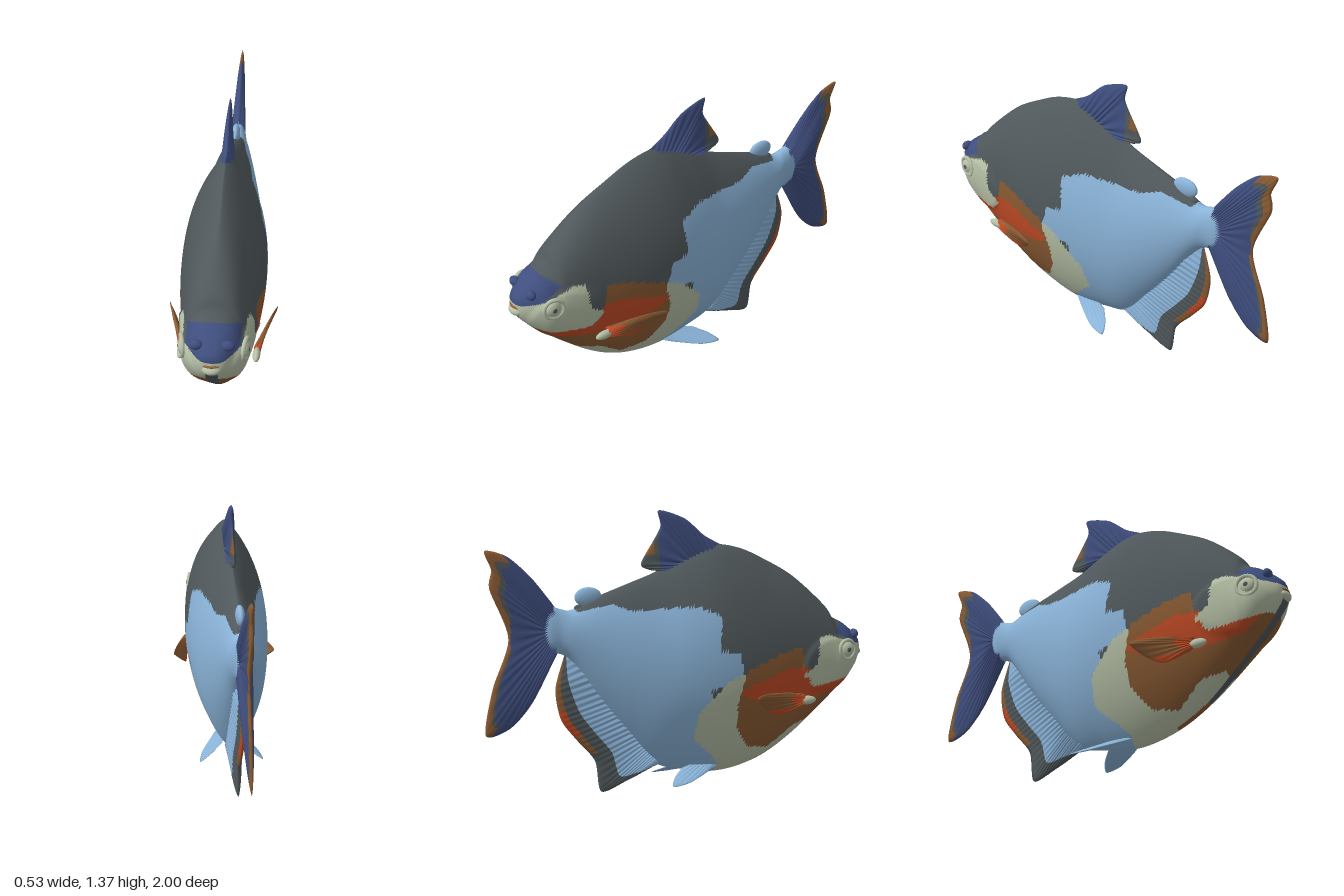
import * as THREE from 'three';

const COLOURS = { grey: 0x50585b, sky: 0x8ab3d8, sage: 0xb6c0a6, brown: 0x8a5b33, red: 0xbf4a25, navy: 0x3f4e7e };
const NAMES = Object.keys(COLOURS);
const { smoothstep, clamp } = THREE.MathUtils;

// Body sections: z, top, bottom, half width
const SECTIONS = [
  [0.985, 0.665, 0.63, 0.003], [0.965, 0.715, 0.585, 0.06], [0.88, 0.785, 0.48, 0.128], [0.81, 0.825, 0.415, 0.145],
  [0.76, 0.895, 0.365, 0.15], [0.6, 1.035, 0.22, 0.172], [0.45, 1.12, 0.122, 0.193], [0.3, 1.185, 0.07, 0.204],
  [0.15, 1.203, 0.055, 0.204], [0, 1.15, 0.08, 0.19], [-0.15, 1.075, 0.125, 0.165], [-0.3, 1.02, 0.28, 0.135],
  [-0.45, 0.965, 0.475, 0.1], [-0.57, 0.91, 0.655, 0.07], [-0.63, 0.917, 0.7, 0.05], [-0.69, 0.93, 0.705, 0.038],
  [-0.735, 0.83, 0.81, 0.01],
];

// Colour patches on the flank as (z, y) outlines; the first match wins
const CROWN = [[1.02, 0.665], [1.02, 0.82], [0.87, 0.81], [0.79, 0.75], [0.9, 0.69]];
const CHEEK = [[1.02, 0.665], [0.9, 0.69], [0.74, 0.74], [0.68, 0.73], [0.67, 0.6], [0.59, 0.55], [0.66, 0.48], [0.85, 0.51], [1.02, 0.58]];
const THROAT = [[0.94, 0.56], [0.6, 0.58], [0.5, 0.59], [0.23, 0.49], [0.3, 0.44], [0.6, 0.41], [0.8, 0.45]];
const BREAST = [[0.58, 0.69], [0.46, 0.67], [0.265, 0.59], [0.22, 0.42], [0.23, 0.31], [0.31, 0.19], [0.44, 0.17],
  [0.57, 0.28], [0.68, 0.31], [0.74, 0.2], [1, 0.4], [0.95, 0.56], [0.6, 0.5]];
const BELLY = [[0.265, 0.58], [0.17, 0.55], [0.02, 0.39], [0.01, 0.26], [0.17, 0.11], [0.15, 0], [0.9, 0], [0.75, 0.4]];
const FLANK = [[0.14, 0.87], [0.02, 0.915], [-0.29, 0.9], [-0.39, 0.935], [-0.55, 0.9], [-0.6, 1], [-0.8, 1], [-0.8, 0],
  [0.2, 0], [0.08, 0.5], [0.25, 0.57], [0.22, 0.685], [0.12, 0.7]];
const PATCHES = [['navy', CROWN], ['sage', CHEEK], ['red', THROAT], ['brown', BREAST], ['sage', BELLY], ['sky', FLANK]];

function inside(poly, z, y) {
  let hit = false;
  poly.forEach(([zi, yi], i) => {
    const [zj, yj] = poly[(i + 1) % poly.length];
    if ((yi > y) !== (yj > y) && z < ((zj - zi) * (y - yi)) / (yj - yi) + zi) hit = !hit;
  });
  return hit;
}

// Smooth grid surface whose faces are sorted into one group per colour
function paintedGrid(nu, nv, closed, point, paint) {
  const pts = [], cols = closed ? nv : nv + 1;
  for (let i = 0; i <= nu; i++) for (let j = 0; j < cols; j++) pts.push(new THREE.Vector3(...point(i / nu, j / nv)));
  const buckets = NAMES.map(() => []);
  for (let i = 0; i < nu; i++) for (let j = 0; j < nv; j++) {
    const a = i * cols + j, b = i * cols + ((j + 1) % cols), c = a + cols, d = b + cols;
    for (const tri of [[a, b, c], [b, d, c]]) {
      const mid = new THREE.Vector3();
      tri.forEach((k) => mid.addScaledVector(pts[k], 1 / 3));
      buckets[NAMES.indexOf(paint(mid, (i + 0.5) / nu, (j + 0.5) / nv))].push(...tri);
    }
  }
  const geo = new THREE.BufferGeometry().setFromPoints(pts);
  geo.setIndex(buckets.flat());
  let start = 0;
  buckets.forEach((b, k) => { if (b.length) geo.addGroup(start, b.length, k); start += b.length; });
  geo.computeVertexNormals();
  return geo;
}

const spline = (pts, tension = 0.4) => new THREE.CatmullRomCurve3(pts.map((p) => new THREE.Vector3(...p)), false, 'catmullrom', tension);

// Ribbed fin stretched between a base and a tip line of (z, height) points, thinning to its edge
function finGeometry(base, tip, thick, rays, paint, place = (z, h, t) => [t, h, z]) {
  const [b, e] = [base, tip].map((line) => spline(line.map(([z, h]) => [0, h, z])));
  const fold = (w) => 1 - Math.abs(2 * w - 1);
  return paintedGrid(120, 40, false, (u, w) => {
    const v = fold(w), p = b.getPoint(u).lerp(e.getPoint(u), v);
    const ends = Math.min(1, 0.1 + 7 * Math.min(u, 1 - u));
    const t = thick * Math.pow(1 - v, 0.6) * ends * (1 + 0.14 * Math.sin(u * rays * Math.PI * 2));
    return place(p.z, p.y, w < 0.5 ? -t : t);
  }, (p, u, w) => paint(p, u, fold(w)));
}

export function createModel() {
  const fish = new THREE.Group();
  fish.name = 'fish';
  const mats = NAMES.map((name) => new THREE.MeshStandardMaterial({ name, color: COLOURS[name], side: THREE.DoubleSide }));
  const add = (name, geo, colour) => {
    const mesh = new THREE.Mesh(geo, colour ? mats[NAMES.indexOf(colour)] : mats);
    mesh.name = name;
    fish.add(mesh);
    return mesh;
  };
  const blob = (name, colour, pos, size) => {
    const mesh = add(name, new THREE.SphereGeometry(1, 28, 18), colour);
    mesh.position.set(...pos);
    mesh.scale.set(...size);
  };

  // Body, keeled above and below, with slightly raised gill covers
  const outline = spline(SECTIONS.map(([z, top, bottom]) => [z, top, bottom]), 0.5);
  const girth = spline(SECTIONS.map(([z, , , half]) => [z, half, 0]), 0.5);
  const body = paintedGrid(184, 132, true, (u, v) => {
    const { x: z, y: top, z: bottom } = outline.getPoint(u), half = girth.getPoint(u).y;
    const power = 1.6 - 0.74 * smoothstep(z, 0.3, 0.88) - 0.6 * smoothstep(-z, 0.1, 0.65);
    const a = v * Math.PI * 2, s = Math.sin(a);
    const y = (top + bottom) / 2 + ((top - bottom) / 2) * Math.cos(a);
    const d = ((z - 0.77) / 0.18) ** 2 + ((y - 0.59) / 0.14) ** 2;
    const gill = 0.011 * (1 - smoothstep(d, 0.8, 1.1));
    return [Math.sign(s) * (half * Math.pow(Math.abs(s), power) + gill * Math.abs(s)), y, z];
  }, (p) => {
    const stripe = 0.016 + 0.03 * Math.max(0, p.y - 0.2);
    if (p.z > 0.4 && p.y < 0.62 && Math.abs(p.x) < stripe) return p.y > 0.2 ? 'grey' : 'brown';
    const patch = PATCHES.find(([, poly]) => inside(poly, p.z, p.y));
    return patch ? patch[0] : 'grey';
  });
  add('body', body);

  // Mouth
  blob('lowerLip', 'sage', [0, 0.63, 0.962], [0.046, 0.026, 0.038]);
  blob('mouthOpening', 'brown', [0, 0.655, 0.964], [0.042, 0.008, 0.028]);

  // Dorsal fin
  add('dorsalFin', finGeometry(
    [[0.2, 1.18], [0.05, 1.14], [-0.11, 1.07]],
    [[0.2, 1.205], [0.115, 1.25], [0.01, 1.335], [-0.125, 1.375], [-0.118, 1.29], [-0.215, 1.125], [-0.18, 1.09], [-0.12, 1.08]],
    0.026, 14, (p) => {
      if (p.z > -0.125 || p.y > 1.28) return 'navy';
      return p.z < -0.15 && p.y > 1.16 && p.y < 1.25 ? 'brown' : 'grey';
    }));

  // Small rounded fin behind the dorsal
  blob('adiposeFin', 'sky', [0, 0.968, -0.487], [0.022, 0.047, 0.068]);
  blob('adiposeFinBase', 'grey', [0, 0.918, -0.525], [0.018, 0.016, 0.032]);

  // Forked tail with a coloured rear margin
  add('tailFin', finGeometry(
    [[-0.65, 0.92], [-0.69, 0.82], [-0.64, 0.71]],
    [[-0.67, 0.95], [-0.77, 1.075], [-0.88, 1.172], [-0.985, 1.2], [-0.955, 1.11], [-0.965, 1.02], [-0.88, 0.785],
      [-0.96, 0.55], [-0.998, 0.33], [-0.88, 0.355], [-0.77, 0.47], [-0.65, 0.69]],
    0.032, 30, (p, u, v) => {
      if (p.z > -0.87 || u < 0.2 || u > 0.76) return 'navy';
      const margin = p.y > 0.8 ? 0.83 : 0.91;
      return v > margin ? 'brown' : v > margin - 0.07 ? 'grey' : 'navy';
    }));

  // Anal fin running from the tail root down to its pointed lobe
  add('analFin', finGeometry(
    [[-0.59, 0.71], [-0.38, 0.42], [-0.22, 0.21], [-0.12, 0.12]],
    [[-0.61, 0.69], [-0.655, 0.53], [-0.63, 0.38], [-0.55, 0.27], [-0.46, 0.16], [-0.43, 0.005], [-0.3, 0.045], [-0.16, 0.105]],
    0.036, 34, (p, u, v) => {
      if (v < 0.58) return 'sky';
      if (v < 0.84 || p.y < 0.2) return 'grey';
      return p.y > 0.29 && p.y < 0.42 ? 'red' : 'brown';
    }));

  // Paired fins and eyes
  const pectoral = finGeometry(
    [[0.59, 0.45], [0.59, 0.4]],
    [[0.57, 0.46], [0.45, 0.475], [0.35, 0.48], [0.295, 0.465], [0.35, 0.405], [0.44, 0.36], [0.58, 0.39]],
    0.012, 12, (p, u, v) => (v < 0.3 || p.y < 0.39 ? 'red' : 'brown'),
    (z, h, t) => [0.178 + (0.59 - z) * 0.29 * clamp((h - 0.32) / 0.14, 0, 1) + t, h, z]);
  const pelvic = finGeometry(
    [[0.18, 0.02], [0.04, 0.02]],
    [[0.17, 0.04], [0.07, 0.1], [-0.02, 0.145], [-0.11, 0.16], [-0.08, 0.1], [-0.02, 0.04]],
    0.012, 9, () => 'sky',
    (z, h, t) => [h, 0.105 - 0.5 * (h - 0.02) + t, z]);

  for (const side of [1, -1]) {
    const tag = side > 0 ? 'left' : 'right';
    add(tag + 'PectoralFin', pectoral).scale.x = side;
    add(tag + 'PelvicFin', pelvic).scale.x = side;
    blob(tag + 'PectoralRoot', 'sage', [side * 0.178, 0.42, 0.605], [0.018, 0.022, 0.05]);
    blob(tag + 'Nostril', 'navy', [side * 0.07, 0.73, 0.925], [0.03, 0.024, 0.022]);
    blob(tag + 'Eye', 'sage', [side * 0.138, 0.66, 0.85], [0.022, 0.04, 0.04]);
    blob(tag + 'Pupil', 'grey', [side * 0.153, 0.66, 0.853], [0.009, 0.015, 0.015]);
    const rim = add(tag + 'EyeRim', new THREE.TorusGeometry(0.048, 0.01, 10, 36), 'sage');
    rim.position.set(side * 0.142, 0.66, 0.85);
    rim.rotation.y = side * (Math.PI / 2 - 0.2);
  }
  return fish;
}
